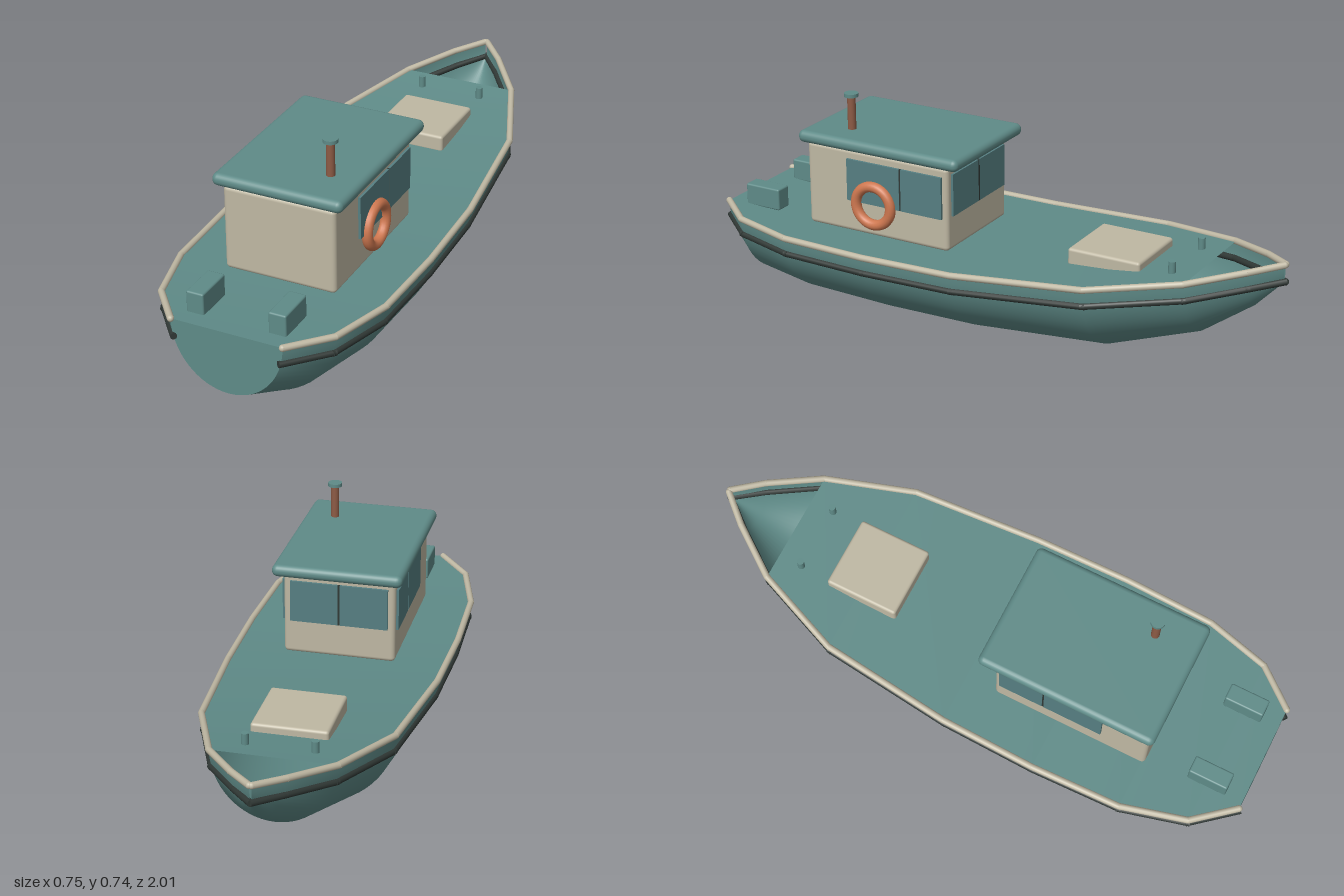
import * as THREE from 'three';
import { RoundedBoxGeometry } from 'three/addons/geometries/RoundedBoxGeometry.js';

const material = (name, color, side = THREE.FrontSide) => {
  const m = new THREE.MeshStandardMaterial({ color, side });
  m.name = name;
  return m;
};

// Hull stations from bow to stern: z, half width, sheer height, keel height
const stations = [
  [-0.99, 0.004, 0.403, 0.345],
  [-0.9, 0.085, 0.388, 0.25],
  [-0.74, 0.2, 0.358, 0.135],
  [-0.45, 0.312, 0.318, 0.036],
  [0, 0.356, 0.286, 0.005],
  [0.33, 0.364, 0.281, 0.002],
  [0.64, 0.354, 0.281, 0.008],
  [0.86, 0.295, 0.286, 0.024],
  [0.99, 0.187, 0.293, 0.08],
];
const ARC = 32;

// Point on a half-elliptical section, t = 0 at the +x sheer and 1 at the -x sheer
function sectionPoint([z, w, top, keel], t) {
  const a = Math.PI * t;
  return [w * Math.cos(a), top - (top - keel) * Math.sin(a), z];
}

function geometryFrom(positions, index) {
  const g = new THREE.BufferGeometry();
  g.setAttribute('position', new THREE.Float32BufferAttribute(positions, 3));
  g.setIndex(index);
  g.computeVertexNormals();
  return g;
}

function hullGeometry() {
  const p = [], index = [], row = ARC + 1;
  for (const s of stations) for (let j = 0; j <= ARC; j++) p.push(...sectionPoint(s, j / ARC));
  for (let i = 0; i < stations.length - 1; i++) {
    for (let j = 0; j < ARC; j++) {
      const a = i * row + j, b = a + row;
      index.push(a, b, a + 1, b, b + 1, a + 1);
    }
  }
  return geometryFrom(p, index);
}

function transomGeometry() {
  const s = stations[stations.length - 1];
  const p = [0, s[2], s[0]], index = [];
  for (let j = 0; j <= ARC; j++) p.push(...sectionPoint(s, j / ARC));
  for (let j = 1; j <= ARC; j++) index.push(0, j + 1, j);
  return geometryFrom(p, index);
}

// Deck follows the sheer and stops short of the open bow
function deckGeometry() {
  const p = [], index = [];
  stations.slice(2).forEach(([z, w, top], i) => {
    p.push(-w, top, z, w, top, z);
    if (i > 0) {
      const a = 2 * i - 2;
      index.push(a, a + 2, a + 1, a + 1, a + 2, a + 3);
    }
  });
  return geometryFrom(p, index);
}

export function createModel() {
  const model = new THREE.Group();
  model.name = 'boat';
  const teal = material('teal paint', 0x5f8b88);
  const hullTeal = material('hull teal', 0x5f8b88, THREE.DoubleSide);
  const cream = material('cream paint', 0xbfb8a3);
  const glass = material('window glass', 0x567f82);
  const dark = material('dark rubber', 0x303835);
  const orange = material('orange', 0xcf7850);
  const rust = material('rusty pipe', 0x8d5b45);

  const add = (name, geometry, mat, x = 0, y = 0, z = 0, parent = model) => {
    const mesh = new THREE.Mesh(geometry, mat);
    mesh.name = name;
    mesh.position.set(x, y, z);
    parent.add(mesh);
    return mesh;
  };
  const box = (name, w, h, d, r, mat, x, y, z) =>
    add(name, new RoundedBoxGeometry(w, h, d, 3, r), mat, x, y, z);

  // Straight round bars along a list of points
  const bars = (name, points, radius, overlap, mat, joints) => {
    const group = new THREE.Group();
    group.name = name;
    model.add(group);
    for (let i = 0; i < points.length - 1; i++) {
      const a = points[i], b = points[i + 1];
      const mid = a.clone().add(b).multiplyScalar(0.5);
      const bar = add(name + 'Segment',
        new THREE.CylinderGeometry(radius, radius, a.distanceTo(b) + overlap, 12), mat, mid.x, mid.y, mid.z, group);
      bar.quaternion.setFromUnitVectors(new THREE.Vector3(0, 1, 0), b.clone().sub(a).normalize());
    }
    if (joints) for (const q of points) {
      add(name + 'Joint', new THREE.SphereGeometry(radius, 12, 8), mat, q.x, q.y, q.z, group);
    }
  };

  // Hull
  add('hull', hullGeometry(), hullTeal);
  add('transom', transomGeometry(), hullTeal);
  add('deck', deckGeometry(), hullTeal);

  // Gunwale rail and rubbing strake on both sides
  for (const side of [-1, 1]) {
    const label = side > 0 ? 'left' : 'right';
    bars(label + 'Rail', stations.map(([z, w, top]) => new THREE.Vector3(side * w, top, z)), 0.011, 0, cream, true);
    const strake = stations.map(([z, w, top, keel]) => {
      const drop = Math.min(0.057, top - keel);
      const x = w * Math.sqrt(1 - (drop / (top - keel)) ** 2);
      return new THREE.Vector3(side * Math.max(x, 0.003), top - drop, z);
    });
    bars(label + 'Strake', strake, 0.011, 0.016, dark, false);
  }

  // Wheelhouse and roof
  box('cabin', 0.38, 0.29, 0.545, 0.015, cream, 0, 0.427, 0.378);
  box('roof', 0.44, 0.042, 0.615, 0.02, teal, 0, 0.594, 0.363);

  // Windows: two panes on each side and two facing the bow
  for (const side of [-1, 1]) {
    for (const [z0, z1] of [[0.125, 0.28], [0.286, 0.49]]) {
      add('sideWindow', new THREE.BoxGeometry(0.009, 0.145, z1 - z0), glass, side * 0.194, 0.468, (z0 + z1) / 2);
    }
    add('windowPost', new THREE.BoxGeometry(0.008, 0.145, 0.006), dark, side * 0.193, 0.468, 0.283);
    add('frontWindow', new THREE.BoxGeometry(0.162, 0.145, 0.009), glass, side * 0.085, 0.475, 0.102);
  }
  add('frontWindowPost', new THREE.BoxGeometry(0.008, 0.145, 0.008), dark, 0, 0.475, 0.102);

  // Life ring
  add('lifeRing', new THREE.TorusGeometry(0.067, 0.018, 14, 36), orange, 0.202, 0.395, 0.385).rotation.y = Math.PI / 2;

  // Exhaust pipe with cap
  add('exhaustPipe', new THREE.CylinderGeometry(0.014, 0.014, 0.13, 20), rust, 0.113, 0.668, 0.52);
  add('exhaustCap', new THREE.CylinderGeometry(0.024, 0.024, 0.012, 20), teal, 0.113, 0.734, 0.52);

  // Deck fittings
  box('foreHatch', 0.25, 0.06, 0.255, 0.01, cream, 0, 0.33, -0.427);
  for (const side of [-1, 1]) {
    box('sternLocker', 0.059, 0.076, 0.135, 0.006, teal, side * 0.138, 0.322, 0.862);
    add('bollard', new THREE.CylinderGeometry(0.012, 0.012, 0.05, 16), teal, side * 0.11, 0.361, -0.66);
  }
  return model;
}
